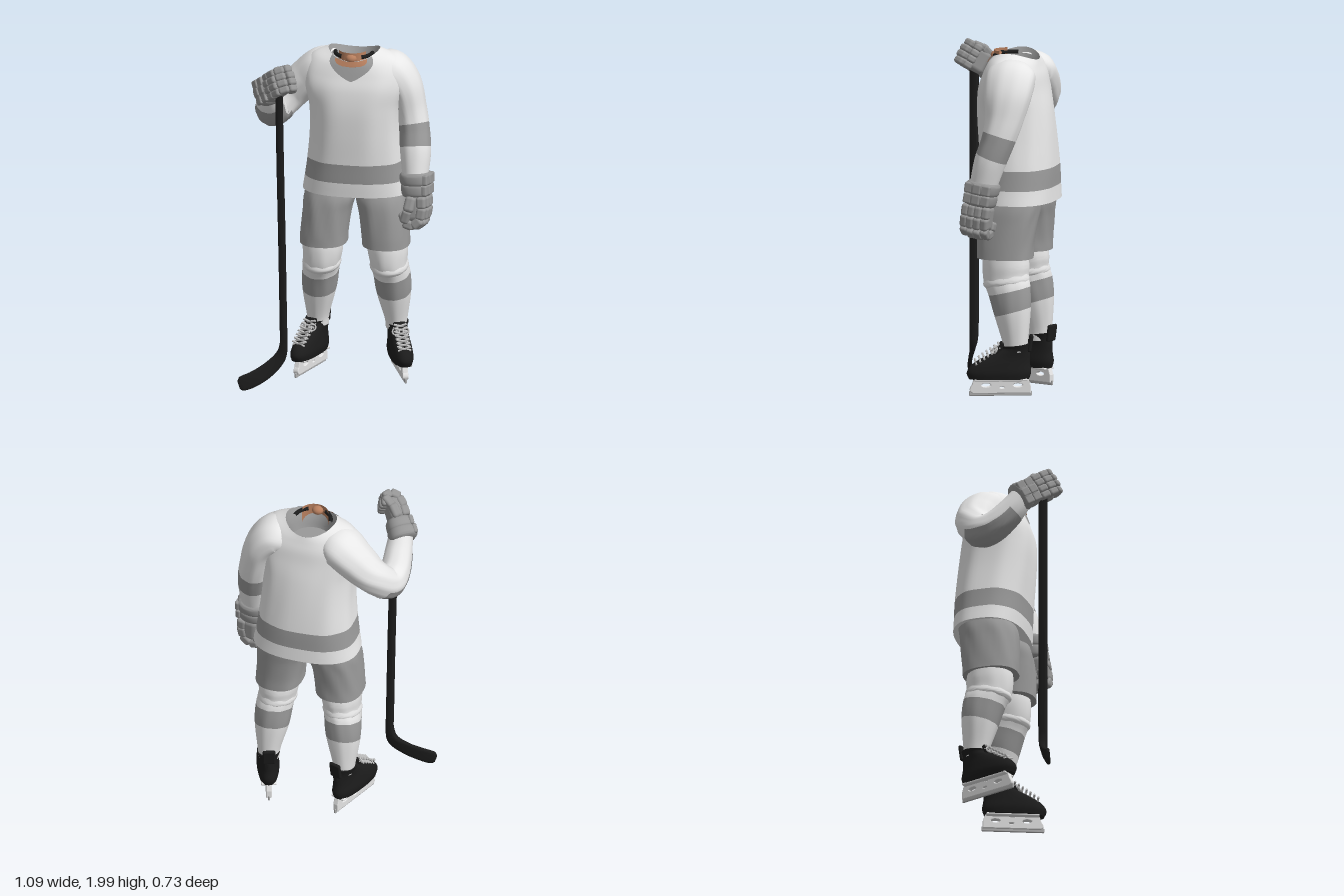
import * as THREE from 'three';
import { mergeVertices, toCreasedNormals } from 'three/addons/utils/BufferGeometryUtils.js';
import { RoundedBoxGeometry } from 'three/addons/geometries/RoundedBoxGeometry.js';

const mat = (name, color, side = THREE.FrontSide) => {
  const m = new THREE.MeshStandardMaterial({ color, side });
  m.name = name;
  return m;
};
const white = mat('white cloth', 0xf2f2f2, THREE.DoubleSide);
const gray = mat('gray cloth', 0x9a9a9a, THREE.DoubleSide);
const padGray = mat('glove gray', 0x959595);
const black = mat('black', 0x1c1c1c);
const skin = mat('skin', 0xb9805f, THREE.DoubleSide);
const plastic = mat('skate holder', 0xe4e4e4);
const lace = mat('lace', 0xc4c4c4);
const steel = mat('steel', 0xb0b0b0);

function add(parent, name, geo, material, x = 0, y = 0, z = 0) {
  const m = new THREE.Mesh(geo, material);
  m.name = name;
  m.position.set(x, y, z);
  parent.add(m);
  return m;
}
const group = (parent, name) => {
  const g = new THREE.Group();
  g.name = name;
  parent.add(g);
  return g;
};

// Surface through rings [x, y, z, a, b, power, dip, tilt].
// Without ref the rings lie flat; with ref they stand square to the path.
function surf(rings, ref = null, fold = 0) {
  const curve = (f) => new THREE.CatmullRomCurve3(rings.map((r) => new THREE.Vector3(...f(r))), false, 'catmullrom', 0.5);
  const path = curve((r) => r.slice(0, 3));
  const size = curve((r) => [r[3], r[4], r[5] ?? 2]);
  const lean = curve((r) => [r[6] ?? 0, r[7] ?? 0, 0]);
  return (u, v, k = 1, off = 0) => {
    const p = path.getPoint(u), s = size.getPoint(u), l = lean.getPoint(u);
    const se = (c) => Math.sign(c) * Math.pow(Math.abs(c), 2 / s.z);
    const f = k * (1 + fold * Math.sin(9 * v + 6 * u) * Math.sin(Math.PI * u));
    const c = se(Math.cos(v)) * (s.x * f + off), d = se(Math.sin(v)) * (s.y * f + off);
    if (!ref) {
      p.x += c;
      p.z += d;
      p.y -= k * (l.x * Math.sin(v) ** 2 + l.y * Math.sin(v));
      return p;
    }
    const t = path.getTangent(u);
    const e1 = ref.clone().addScaledVector(t, -ref.dot(t)).normalize();
    return p.addScaledVector(e1, c).addScaledVector(e1.cross(t), d);
  };
}

// Grid of faces from a rule (row, column) -> point
function grid(rows, cols, fn) {
  const pos = [], idx = [];
  for (let i = 0; i <= rows; i++) for (let j = 0; j <= cols; j++) pos.push(...fn(i, j / cols).toArray());
  for (let i = 0; i < rows; i++) for (let j = 0; j < cols; j++) {
    const a = i * (cols + 1) + j, b = a + cols + 1;
    idx.push(a, b, b + 1, a, b + 1, a + 1);
  }
  const g = new THREE.BufferGeometry();
  g.setAttribute('position', new THREE.Float32BufferAttribute(pos, 3));
  g.setIndex(idx);
  return toCreasedNormals(mergeVertices(g, 1e-5), 0.8);
}

// Band of a surface between u0 and u1, closed at the ends asked for
function band(P, u0 = 0, u1 = 1, capA = false, capB = false, n = 24, cols = 40) {
  const rows = [];
  if (capA) rows.push([u0, 0]);
  for (let i = 0; i <= n; i++) rows.push([u0 + (u1 - u0) * i / n, 1]);
  if (capB) rows.push([u1, 0]);
  return grid(rows.length - 1, cols, (i, v) => P(rows[i][0], v * Math.PI * 2, rows[i][1]));
}

// Patch lying on a surface around angle mid; power shapes how it widens along u
const patch = (P, u0, u1, mid, width, power, off) => grid(16, 24, (i, t) => {
  const s = i / 16;
  return P(u0 + (u1 - u0) * s, mid + (t * 2 - 1) * width * Math.pow(s, power), 1, off);
});

function makeJersey(root) {
  const g = group(root, 'jersey');
  const hole = [0.06, 1.988, -0.115, 0.15, 0.14, 2, 0.045];
  const P = surf([
    [0.07, 1.12, -0.155, 0.315, 0.21, 2.5], [0.07, 1.205, -0.15, 0.3, 0.212, 2.5],
    [0.07, 1.32, -0.145, 0.285, 0.213, 2.5], [0.068, 1.5, -0.13, 0.268, 0.212, 2.5],
    [0.066, 1.65, -0.117, 0.27, 0.205, 2.5], [0.065, 1.77, -0.11, 0.295, 0.188, 2.5],
    [0.065, 1.87, -0.115, 0.295, 0.17, 2.3, 0.02], [0.062, 1.945, -0.115, 0.245, 0.153, 2.1, 0.04], hole], null, 0.012);
  add(g, 'hem', band(P, 0, 1 / 8, true), white);
  add(g, 'hemStripe', band(P, 1 / 8, 2 / 8), gray);
  add(g, 'body', band(P, 2 / 8, 1, false, false, 40, 64), white);
  add(g, 'collar', patch(P, 0.715, 1, Math.PI / 2, 0.85, 1, 0.004), gray);
  const lining = surf([[0.06, 1.84, -0.115, 0.11, 0.1], [0.06, 1.92, -0.115, 0.125, 0.115, 2, 0.03], hole]);
  add(g, 'neckLining', band(lining, 0, 1, true), gray);

  // Throat and side straps
  add(g, 'throat', patch(P, 0.9, 1, Math.PI / 2, 0.62, 0.4, 0.008), skin);
  add(g, 'neck', new THREE.CylinderGeometry(0.085, 0.09, 0.13, 24, 1, true, -1.2, 2.4), skin, 0.06, 1.925, -0.072);
  add(g, 'chin', new THREE.SphereGeometry(0.034, 16, 10), skin, 0.06, 1.955, 0.004).scale.set(1, 0.8, 0.9);
  for (const s of [-1, 1]) {
    const strap = add(g, 'strap', new THREE.TorusGeometry(0.108, 0.012, 8, 16, 1.05), black, 0.06, 1.962, -0.1);
    strap.rotation.set(Math.PI / 2, 0, 0);
    strap.scale.x = s;
  }

  // Sleeves
  const L = surf([
    [0.2, 1.85, -0.14, 0.13, 0.09], [0.27, 1.85, -0.148, 0.15, 0.112], [0.345, 1.76, -0.155, 0.14, 0.102],
    [0.385, 1.62, -0.145, 0.112, 0.092], [0.41, 1.5, -0.117, 0.097, 0.09],
    [0.424, 1.38, -0.075, 0.092, 0.09], [0.43, 1.24, -0.035, 0.08, 0.075]], new THREE.Vector3(0, 0, 1), 0.02);
  add(g, 'leftUpperSleeve', band(L, 0, 0.62, true), white);
  add(g, 'leftSleeveStripe', band(L, 0.62, 0.8), gray);
  add(g, 'leftLowerSleeve', band(L, 0.8, 1, false, true), white);
  const R = surf([
    [-0.08, 1.85, -0.14, 0.1, 0.12], [-0.13, 1.85, -0.15, 0.115, 0.145], [-0.22, 1.775, -0.16, 0.112, 0.132],
    [-0.32, 1.68, -0.15, 0.102, 0.11], [-0.395, 1.6, -0.085, 0.095, 0.093], [-0.41, 1.62, 0, 0.088, 0.088],
    [-0.405, 1.7, 0.09, 0.08, 0.08], [-0.4, 1.775, 0.15, 0.07, 0.07]], new THREE.Vector3(0, 1, 0), 0.02);
  add(g, 'rightSleeve', band(R, 0, 1, true, true, 48), white);
  add(g, 'rightSleeveStripe', patch(R, 0.53, 0.86, Math.PI, 1.4, 0, 0.003), gray);
}

// Padded glove: back of hand to +x, wrist up, thumb to +z
function makeGlove(root, name) {
  const g = group(root, name);
  const box = (n, w, h, d, x, y, z, rz = 0, rx = 0) =>
    add(g, n, new RoundedBoxGeometry(w, h, d, 3, Math.min(w, h, d) * 0.36), padGray, x, y, z).rotation.set(rx, 0, rz);
  for (const [y, a, b] of [[0.108, 0.09, 0.094], [0.045, 0.084, 0.088]]) {
    const roll = surf([[0, y - 0.038, 0, a * 0.88, b * 0.88, 2.4], [0, y - 0.022, 0, a, b, 2.4],
      [0, y + 0.022, 0, a * 1.03, b * 1.03, 2.4], [0, y + 0.038, 0, a * 0.9, b * 0.9, 2.4]]);
    add(g, 'cuffRoll', band(roll, 0, 1, true, true, 10, 32), padGray);
    for (let i = -1; i <= 1; i++) box('cuffPad', 0.03, 0.062, 0.056, a - 0.01 - Math.abs(i) * 0.006, y, i * 0.054);
  }
  box('palm', 0.1, 0.16, 0.165, -0.005, -0.06, 0);
  // Four fingers, each a chain of pads curling into the palm
  for (let i = 0; i < 4; i++) {
    const z = (i - 1.5) * 0.043, mid = Math.abs(i - 1.5) < 1 ? 0.008 : 0;
    for (const [x, y, rz, h] of [[0.046, -0.026, 0, 0.072], [0.042, -0.09, -0.2, 0.074],
      [0.016, -0.146, -0.9, 0.07], [-0.035, -0.155, -1.9, 0.064], [-0.06, -0.11, -2.9, 0.058]])
      box('fingerPad', 0.056, h, 0.048, x + mid * Math.cos(rz), y + mid * Math.sin(rz), z, rz);
  }
  box('thumbBase', 0.062, 0.095, 0.06, -0.02, -0.035, 0.075, -0.2, -0.25);
  box('thumbTip', 0.054, 0.085, 0.05, -0.045, -0.105, 0.078, -0.35, 0.15);
  return g;
}

function makeSkate(root) {
  const g = group(root, 'skate');
  const P = surf([[0, 0.1, 0, 0.058, 0.175, 2.5], [0, 0.14, 0, 0.066, 0.187, 2.4], [0, 0.19, -0.015, 0.062, 0.165, 2.3],
    [0, 0.235, -0.055, 0.057, 0.125, 2.2], [0, 0.275, -0.092, 0.06, 0.087], [0, 0.3, -0.098, 0.068, 0.087, 2, 0, 0.01]]);
  add(g, 'boot', band(P, 0, 1, true, true), black);
  add(g, 'heelTab', new RoundedBoxGeometry(0.075, 0.1, 0.022, 3, 0.01), black, 0, 0.308, -0.182).rotation.x = -0.15;
  add(g, 'tongue', new RoundedBoxGeometry(0.075, 0.075, 0.025, 3, 0.01), black, 0, 0.28, -0.005).rotation.x = -0.45;
  // Crossed laces climbing the instep
  for (let i = 0; i < 7; i++) {
    const t = i / 6;
    for (const s of [-1, 1]) {
      const c = add(g, 'lace', new THREE.CylinderGeometry(0.0065, 0.0065, 0.08, 6), lace, 0, 0.2 + 0.095 * t, 0.135 - 0.135 * t);
      c.rotation.set(0.3, 0, s * 1.25);
    }
  }
  for (const s of [-1, 1]) {
    const bow = add(g, 'laceLoop', new THREE.TorusGeometry(0.02, 0.005, 6, 14), lace, s * 0.03, 0.272, 0.024);
    bow.rotation.set(-0.5, s * 0.4, 0);
  }
  // Blade holder with openings
  const sh = new THREE.Shape();
  sh.moveTo(-0.18, 0.02).lineTo(0.15, 0.02);
  sh.quadraticCurveTo(0.178, 0.03, 0.155, 0.06).lineTo(0.14, 0.105).lineTo(0.03, 0.105);
  sh.quadraticCurveTo(-0.01, 0.06, -0.05, 0.105).lineTo(-0.165, 0.105).lineTo(-0.18, 0.06);
  for (const [z, y, r] of [[0.075, 0.064, 0.024], [-0.11, 0.064, 0.024], [-0.018, 0.05, 0.014]]) {
    const h = new THREE.Path();
    h.absellipse(z, y, r * 1.3, r * 0.6, 0, Math.PI * 2, true);
    sh.holes.push(h);
  }
  const holder = new THREE.ExtrudeGeometry(sh, { depth: 0.024, bevelEnabled: true, bevelSize: 0.004, bevelThickness: 0.005, bevelSegments: 2 });
  holder.translate(0, 0, -0.012).rotateY(-Math.PI / 2);
  add(g, 'bladeHolder', holder, plastic);
  add(g, 'solePlate', new RoundedBoxGeometry(0.09, 0.014, 0.31, 2, 0.006), plastic, 0, 0.097, -0.01);
  add(g, 'blade', new RoundedBoxGeometry(0.012, 0.03, 0.365, 2, 0.005), steel, 0, 0.015, -0.008);
  return g;
}

// One leg on the +x side of the body's middle, mirrored for the other
function makeLeg(root, s) {
  const g = group(root, s > 0 ? 'leftLeg' : 'rightLeg');
  g.position.x = 0.065;
  g.scale.x = s;
  const shorts = surf([[0.183, 0.8, -0.112, 0.138, 0.163, 2.4], [0.178, 0.88, -0.114, 0.138, 0.165, 2.4],
    [0.165, 1, -0.124, 0.142, 0.17, 2.4], [0.15, 1.08, -0.135, 0.15, 0.172, 2.3], [0.142, 1.15, -0.15, 0.142, 0.165, 2.1]], null, 0.02);
  add(g, 'shortsLeg', band(shorts, 0, 1, true, true), gray);
  const sock = surf([[0.228, 0.26, -0.19, 0.06, 0.066], [0.228, 0.33, -0.187, 0.068, 0.077, 2, 0, 0.01],
    [0.218, 0.49, -0.17, 0.1, 0.106, 2, 0, 0.03], [0.208, 0.61, -0.147, 0.107, 0.122, 2, 0, 0.03],
    [0.196, 0.68, -0.122, 0.108, 0.132, 2, 0, 0.02], [0.19, 0.76, -0.118, 0.117, 0.138], [0.187, 0.86, -0.115, 0.113, 0.125]], null, 0.015);
  add(g, 'lowerSock', band(sock, 0, 2 / 6), white);
  add(g, 'sockStripe', band(sock, 2 / 6, 3 / 6), gray);
  add(g, 'upperSock', band(sock, 3 / 6, 1), white);
  // Gathered cloth below the knee
  const ruck = surf([[0.199, 0.64, -0.128, 0.1, 0.125, 2, 0, 0.02], [0.198, 0.662, -0.124, 0.113, 0.137, 2, 0, 0.02],
    [0.196, 0.7, -0.122, 0.104, 0.128, 2, 0, 0.02]]);
  add(g, 'kneeFold', band(ruck, 0, 1, false, false, 8), white);
  const skate = makeSkate(g);
  skate.position.set(0.265, 0, -0.1);
  skate.rotation.y = 0.35;
}

export function createModel() {
  const root = new THREE.Group();
  root.name = 'hockeyPlayer';
  makeJersey(root);
  for (const s of [-1, 1]) makeLeg(root, s);

  const left = makeGlove(root, 'leftGlove');
  left.position.set(0.44, 1.122, -0.02);
  left.rotation.set(-0.14, -0.15, 0.05);

  // Right glove grips the stick, thumb upward
  const grip = group(root, 'rightHand');
  const Y = new THREE.Vector3(-0.5, -0.52, -0.65).normalize();
  const Z = new THREE.Vector3(0, 1, 0).addScaledVector(Y, -Y.y).normalize();
  grip.quaternion.setFromRotationMatrix(new THREE.Matrix4().makeBasis(Y.clone().cross(Z), Y, Z));
  grip.position.set(-0.357, 1.835, 0.215);
  makeGlove(grip, 'rightGlove').scale.set(-0.9, 0.9, 0.9);

  // Stick: shaft and curved blade in one sweep
  const stick = surf([[-0.326, 1.88, 0.26, 0.025, 0.02, 5], [-0.318, 1.4, 0.258, 0.025, 0.02, 5],
    [-0.308, 0.9, 0.255, 0.025, 0.02, 5], [-0.3, 0.4, 0.252, 0.025, 0.02, 5], [-0.299, 0.27, 0.252, 0.023, 0.022, 5],
    [-0.32, 0.19, 0.262, 0.018, 0.035, 4], [-0.385, 0.122, 0.295, 0.012, 0.043, 4], [-0.46, 0.075, 0.328, 0.011, 0.046, 4],
    [-0.525, 0.05, 0.348, 0.011, 0.044, 4], [-0.547, 0.043, 0.353, 0.009, 0.025, 4]], new THREE.Vector3(0, 0, 1));
  add(root, 'stick', band(stick, 0, 1, true, true, 60, 24), black);
  return root;
}
